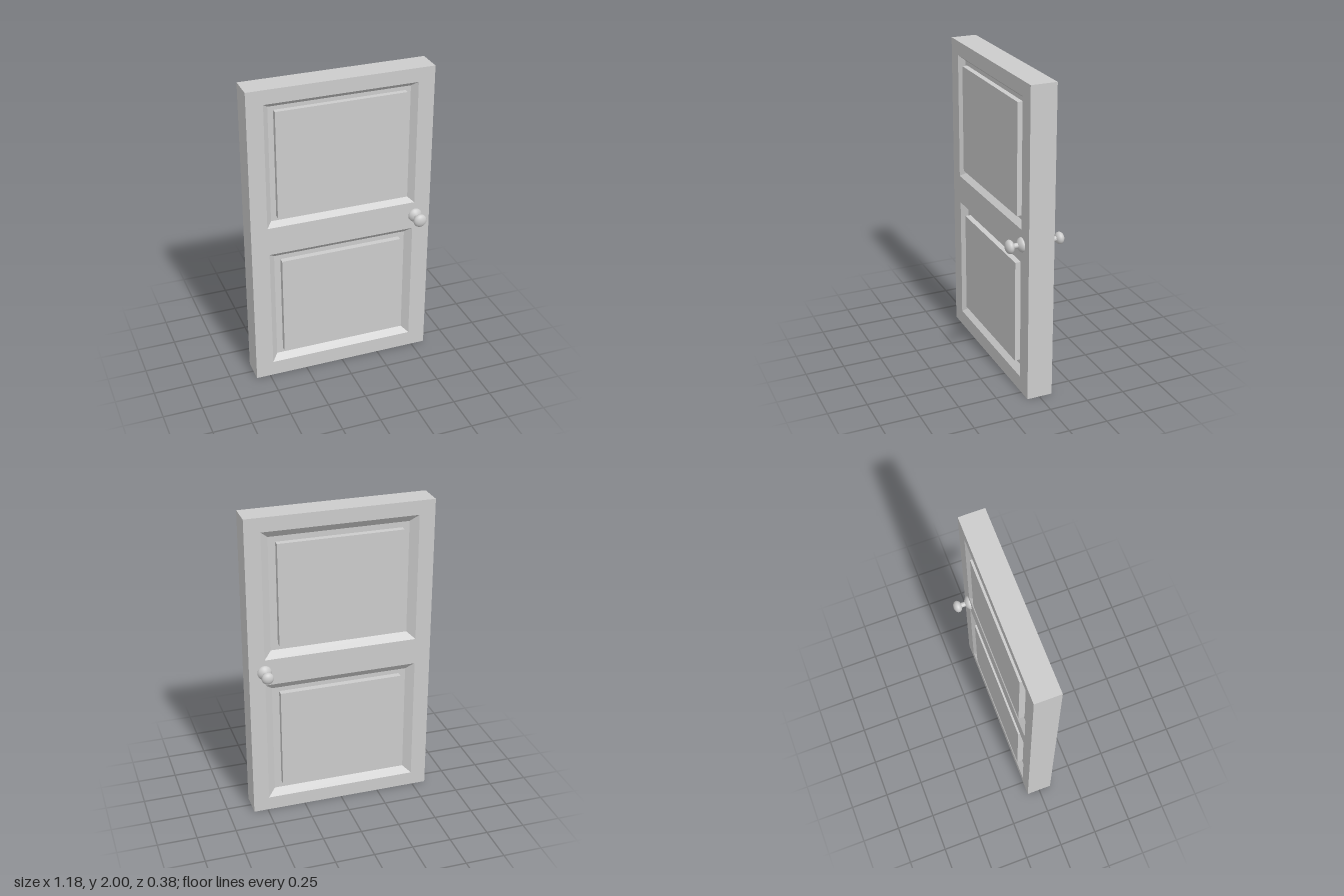
import * as THREE from 'three';

const HALF_W = 0.59, HEIGHT = 2, FRONT_Z = 0.08, BACK_Z = 0.085;
const material = new THREE.MeshStandardMaterial({ color: 0xcccccc });

function addMesh(parent, name, geometry) {
  const mesh = new THREE.Mesh(geometry, material);
  mesh.name = name;
  parent.add(mesh);
  return mesh;
}

// Rectangle [halfWidth, bottom, top] as corners, counter-clockwise from +z
const corners = ([w, y0, y1]) => [[-w, y0], [w, y0], [w, y1], [-w, y1]];

// Joins rectangular sections { rect, z } into flat bands; optionally closes the last one
function loftRects(sections, cap) {
  const pos = [];
  const quad = (a, b, c, d) => pos.push(...a, ...b, ...c, ...a, ...c, ...d);
  const rings = sections.map(({ rect, z }) => corners(rect).map(([x, y]) => [x, y, z]));
  for (let s = 0; s + 1 < rings.length; s++) {
    const a = rings[s], b = rings[s + 1];
    for (let i = 0; i < 4; i++) {
      const j = (i + 1) % 4;
      quad(a[i], a[j], b[j], b[i]);
    }
  }
  if (cap) quad(...rings[rings.length - 1]);
  const geometry = new THREE.BufferGeometry();
  geometry.setAttribute('position', new THREE.Float32BufferAttribute(pos, 3));
  geometry.computeVertexNormals();
  return geometry;
}

// Recess with sloped molding, flat floor and raised centre field
function panelGeometry({ outer, floor, field, depth, rise }) {
  return loftRects([
    { rect: outer, z: 0 },
    { rect: floor, z: -depth },
    { rect: field, z: -depth },
    { rect: field, z: rise },
  ], true);
}

// Turned knob along +z: rosette, neck and flattened ball
function addKnob(parent, x, ballRadius) {
  const knob = new THREE.Group();
  knob.name = 'knob';
  knob.position.set(x, 1.003, 0);
  knob.rotation.x = Math.PI / 2;
  const rosette = [[0.045, 0], [0.045, 0.007], [0.041, 0.014], [0.033, 0.021], [0.024, 0.027], [0.016, 0.03]];
  addMesh(knob, 'rosette', new THREE.LatheGeometry(rosette.map(p => new THREE.Vector2(...p)), 32));
  const neck = addMesh(knob, 'neck', new THREE.CylinderGeometry(0.016, 0.016, 0.04, 32, 1, true));
  neck.position.y = 0.042;
  const ball = addMesh(knob, 'ball', new THREE.SphereGeometry(ballRadius, 32, 20));
  ball.scale.y = 0.0275 / ballRadius;
  ball.position.y = 0.08;
  parent.add(knob);
}

// One side of the door in the plane z = 0, facing +z
function buildFace(name, panels, knobX, ballRadius) {
  const face = new THREE.Group();
  face.name = name;
  const toPoints = rect => corners(rect).map(p => new THREE.Vector2(...p));
  const shape = new THREE.Shape(toPoints([HALF_W, 0, HEIGHT]));
  panels.forEach(p => shape.holes.push(new THREE.Path(toPoints(p.outer).reverse())));
  addMesh(face, 'stilesAndRails', new THREE.ShapeGeometry(shape));
  panels.forEach((p, i) => addMesh(face, i ? 'lowerPanel' : 'upperPanel', panelGeometry(p)));
  addKnob(face, knobX, ballRadius);
  return face;
}

export function createModel() {
  const door = new THREE.Group();
  door.name = 'door';

  // Outer edges of the slab
  const slab = [HALF_W, 0, HEIGHT];
  addMesh(door, 'slabEdges', loftRects([{ rect: slab, z: -BACK_Z }, { rect: slab, z: FRONT_Z }], false));

  // Front side
  const front = buildFace('frontFace', [
    { outer: [0.485, 1.095, 1.91], floor: [0.45, 1.125, 1.88], field: [0.416, 1.155, 1.855], depth: 0.035, rise: -0.001 },
    { outer: [0.477, 0.1, 0.91], floor: [0.437, 0.137, 0.873], field: [0.397, 0.17, 0.843], depth: 0.038, rise: -0.001 },
  ], 0.492, 0.043);
  front.position.z = FRONT_Z;

  // Back side, turned to face -z
  const back = buildFace('backFace', [
    { outer: [0.49, 1.085, 1.91], floor: [0.44, 1.13, 1.865], field: [0.395, 1.17, 1.83], depth: 0.035, rise: 0.004 },
    { outer: [0.49, 0.09, 0.913], floor: [0.44, 0.135, 0.868], field: [0.395, 0.178, 0.84], depth: 0.035, rise: 0.004 },
  ], -0.493, 0.038);
  back.position.z = -BACK_Z;
  back.rotation.y = Math.PI;

  door.add(front, back);
  return door;
}
